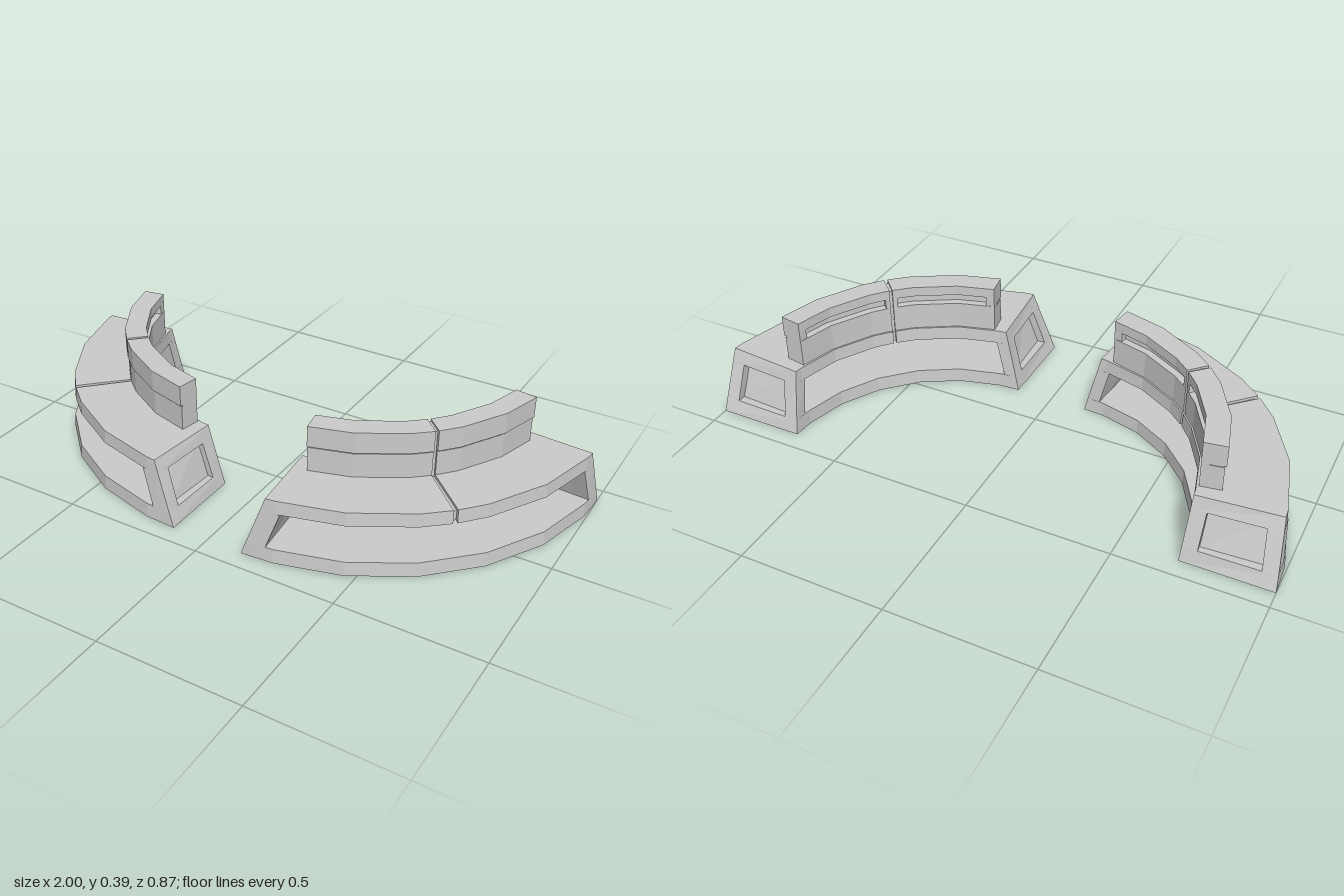
import * as THREE from 'three';

const material = new THREE.MeshStandardMaterial({ color: 0xcccccc, flatShading: true, side: THREE.DoubleSide });
const SLANT = 23.5; // degrees of end lean per unit of height

// Radii of the base walls, which lean with height
const inner = (y) => 0.565 + 0.065 * y;
const outer = (y) => 0.87 - 0.075 * y;

// Curved block swept about the local y axis, angles in degrees from +z to +x.
// s0 and s1 lean its ends; r0 and r1 may be numbers or functions of height.
function sector(name, r0, r1, y0, y1, a0, a1, s0 = 0, s1 = 0) {
  const radius = (r, y) => (typeof r === 'function' ? r(y) : r);
  const start = (y) => a0 + s0 * y, end = (y) => a1 - s1 * y;
  const breaks = [];
  for (let a = 7.5; a < 90; a += 15) {
    if (a > Math.max(start(y0), start(y1)) + 0.3 && a < Math.min(end(y0), end(y1)) - 0.3) breaks.push(a);
  }
  const count = breaks.length + 2;
  const corners = [[r0, y0], [r1, y0], [r1, y1], [r0, y1]];
  const point = (i, k) => {
    const [r, y] = corners[k % 4];
    const deg = i === 0 ? start(y) : i === count - 1 ? end(y) : breaks[i - 1];
    const a = THREE.MathUtils.degToRad(deg), R = radius(r, y);
    return [R * Math.sin(a), y, R * Math.cos(a)];
  };
  const pos = [];
  const quad = (a, b, c, d) => pos.push(...a, ...b, ...c, ...a, ...c, ...d);
  for (let i = 0; i < count - 1; i++) {
    for (let k = 0; k < 4; k++) quad(point(i, k), point(i + 1, k), point(i + 1, k + 1), point(i, k + 1));
  }
  const e = count - 1;
  quad(point(0, 0), point(0, 1), point(0, 2), point(0, 3));
  quad(point(e, 3), point(e, 2), point(e, 1), point(e, 0));
  const geometry = new THREE.BufferGeometry();
  geometry.setAttribute('position', new THREE.Float32BufferAttribute(pos, 3));
  geometry.computeVertexNormals();
  const mesh = new THREE.Mesh(geometry, material);
  mesh.name = name;
  return mesh;
}

function createConsole() {
  const g = new THREE.Group();
  const add = (...args) => g.add(sector(...args));

  // Floor slab and seamed desk top
  add('floorSlab', inner, outer, 0, 0.05, 0, 90, SLANT, SLANT);
  add('deskTop', inner, outer, 0.178, 0.225, 0, 44.5, SLANT, 0);
  add('deskTop', inner, outer, 0.178, 0.225, 45.5, 90, 0, SLANT);
  add('deskSeam', 0.59, 0.842, 0.18, 0.215, 44, 46);

  // End supports: two posts around a recessed panel
  const ends = [
    (name, r0, r1, from, to) => add(name, r0, r1, 0.05, 0.178, from, to, SLANT, -SLANT),
    (name, r0, r1, from, to) => add(name, r0, r1, 0.05, 0.178, 90 - to, 90 - from, -SLANT, SLANT),
  ];
  for (const end of ends) {
    end('innerPost', inner, (y) => inner(y) + 0.05, 0, 4.5);
    end('outerPost', (y) => outer(y) - 0.05, outer, 0, 4.5);
    end('endPanel', (y) => inner(y) + 0.05, (y) => outer(y) - 0.05, 2, 4.5);
  }

  // Raised rear cabinet in two halves, with a slot in each inner face
  for (const [a, b, p, q] of [[9.6, 44.5, 12.5, 43], [45.5, 80.4, 47, 77.5]]) {
    add('cabinetLower', 0.61, 0.656, 0.225, 0.311, a, b);
    add('cabinetUpper', 0.61, 0.661, 0.316, 0.39, a, b);
    add('cabinetGroove', 0.605, 0.65, 0.305, 0.32, a + 0.2, b);
    add('cabinetBack', 0.585, 0.61, 0.225, 0.32, a, b);
    add('slotTop', 0.585, 0.61, 0.355, 0.39, a, b);
    add('slotEnd', 0.585, 0.61, 0.32, 0.355, a, p);
    add('slotEnd', 0.585, 0.61, 0.32, 0.355, q, b);
  }
  add('cabinetSeam', 0.592, 0.648, 0.215, 0.383, 44, 46);
  return g;
}

export function createModel() {
  const model = new THREE.Group();
  model.name = 'curvedConsoles';
  // Each console is symmetric, so the pair differs by a quarter turn
  for (const side of [1, -1]) {
    const console_ = createConsole();
    console_.name = side > 0 ? 'leftConsole' : 'rightConsole';
    console_.position.set(0.13 * side, 0, -0.436);
    if (side < 0) console_.rotation.y = -Math.PI / 2;
    model.add(console_);
  }
  return model;
}
